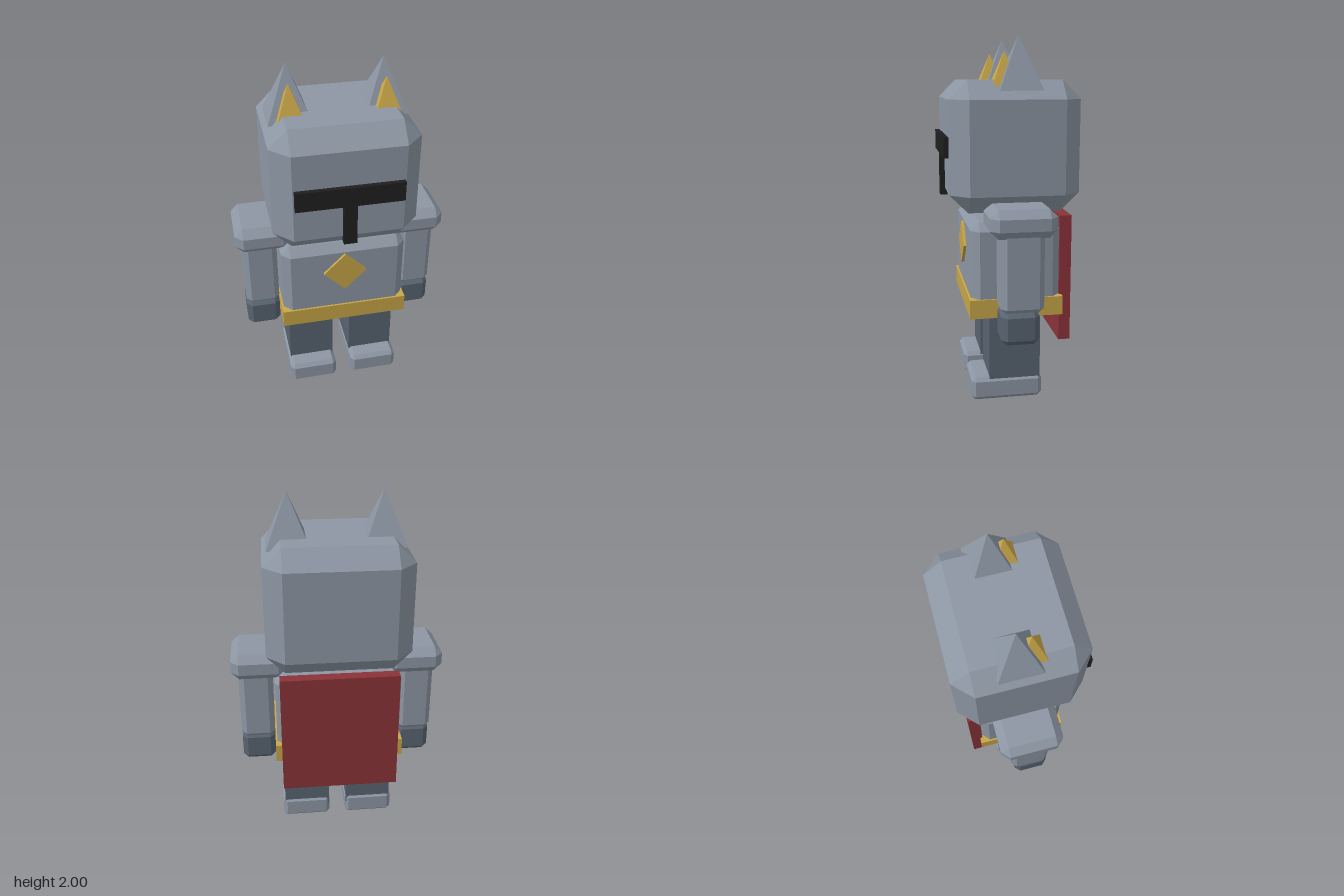
import * as THREE from 'three';
import { ConvexGeometry } from 'three/addons/geometries/ConvexGeometry.js';

const material = (name, color) => {
  const m = new THREE.MeshStandardMaterial({ color });
  m.name = name;
  return m;
};

// Box with every edge cut at 45 degrees
function chamferBox(w, h, d, b) {
  const points = [];
  for (const sx of [-1, 1]) for (const sy of [-1, 1]) for (const sz of [-1, 1]) {
    const x = w / 2, y = h / 2, z = d / 2;
    points.push(
      new THREE.Vector3(sx * x, sy * (y - b), sz * (z - b)),
      new THREE.Vector3(sx * (x - b), sy * y, sz * (z - b)),
      new THREE.Vector3(sx * (x - b), sy * (y - b), sz * z));
  }
  return new ConvexGeometry(points);
}

// Square pyramid with its sides along x and z, standing on its origin
function pyramid(half, height) {
  return new THREE.ConeGeometry(half * Math.SQRT2, height, 4, 1)
    .toNonIndexed().rotateY(Math.PI / 4).translate(0, height / 2, 0);
}

export function createModel() {
  const model = new THREE.Group();
  model.name = 'knight';
  const steel = material('steel', 0x8c96a3);
  const darkSteel = material('darkSteel', 0x586470);
  const gold = material('gold', 0xc7a548);
  const red = material('red', 0x8a3338);
  const black = material('black', 0x1f1f1f);

  function add(name, geometry, mat, x, y, z) {
    if (!geometry.index) geometry.computeVertexNormals();
    const mesh = new THREE.Mesh(geometry, mat);
    mesh.name = name;
    mesh.position.set(x, y, z);
    model.add(mesh);
    return mesh;
  }
  // Box given by its limits on each axis; bevel 0 leaves the edges sharp
  function block(name, mat, [x0, x1], [y0, y1], [z0, z1], bevel = 0) {
    const w = x1 - x0, h = y1 - y0, d = z1 - z0;
    const g = bevel ? chamferBox(w, h, d, bevel) : new THREE.BoxGeometry(w, h, d);
    return add(name, g, mat, (x0 + x1) / 2, (y0 + y1) / 2, (z0 + z1) / 2);
  }

  // Head and T-shaped visor
  block('head', steel, [-0.397, 0.397], [1.068, 1.77], [-0.368, 0.341], 0.1);
  block('visorSlit', black, [-0.29, 0.29], [1.364, 1.475], [0.328, 0.367]);
  block('visorStem', black, [-0.036, 0.036], [1.13, 1.364], [0.328, 0.367]);

  // Torso, belt, chest emblem and cape
  block('torso', steel, [-0.355, 0.355], [0.515, 1.02], [-0.26, 0.233], 0.047);
  block('belt', gold, [-0.365, 0.365], [0.495, 0.6], [-0.27, 0.244]);
  const emblem = add('chestEmblem', new THREE.BoxGeometry(0.174, 0.174, 0.035), gold, 0, 0.845, 0.231);
  emblem.rotation.z = Math.PI / 4;
  block('cape', red, [-0.33, 0.33], [0.335, 1.045], [-0.322, -0.257]);

  // Paired parts
  for (const s of [-1, 1]) {
    const side = s > 0 ? 'left' : 'right';
    const span = (a, b) => (s > 0 ? [a, b] : [-b, -a]);
    add(side + 'Ear', pyramid(0.117, 0.285), steel, s * 0.256, 1.715, -0.036);
    add(side + 'InnerEar', pyramid(0.07, 0.18), gold, s * 0.256, 1.74, 0.04);
    block(side + 'Shoulder', steel, span(0.288, 0.597), [0.977, 1.13], [-0.19, 0.163], 0.044);
    block(side + 'Arm', steel, span(0.365, 0.56), [0.57, 1.06], [-0.127, 0.103], 0.03);
    block(side + 'Hand', darkSteel, span(0.365, 0.56), [0.4, 0.585], [-0.103, 0.1], 0.03);
    block(side + 'Leg', darkSteel, span(0.053, 0.321), [0.08, 0.53], [-0.154, 0.132]);
    block(side + 'Boot', steel, span(0.048, 0.332), [0, 0.132], [-0.165, 0.233], 0.022);
  }
  return model;
}
